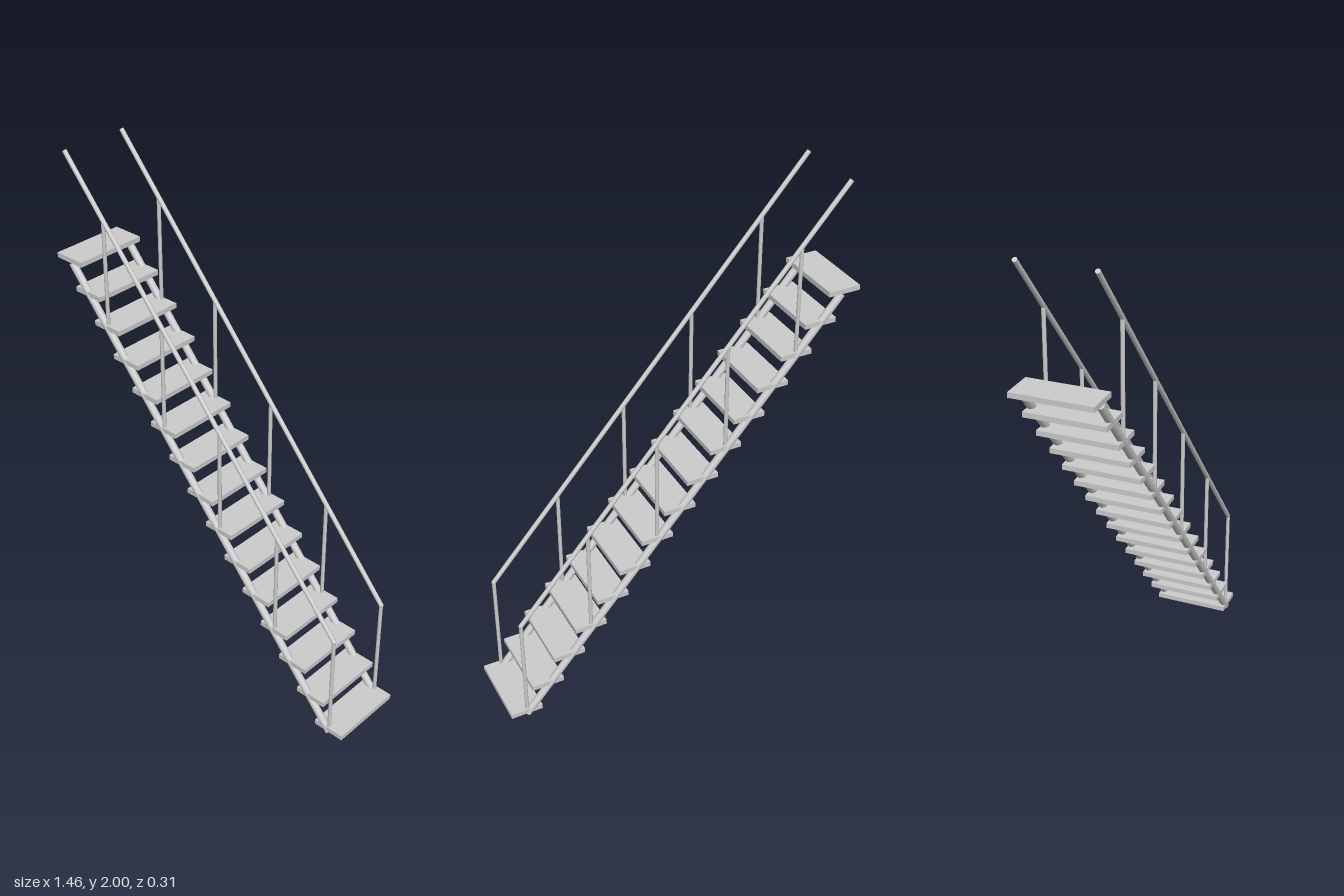
import * as THREE from 'three';

const material = new THREE.MeshStandardMaterial({ color: 0xcccccc });

// Round bar running between two points
function bar(name, from, to, radius) {
  const a = new THREE.Vector3(...from);
  const b = new THREE.Vector3(...to);
  const dir = b.clone().sub(a);
  const mesh = new THREE.Mesh(new THREE.CylinderGeometry(radius, radius, dir.length(), 16), material);
  mesh.position.copy(a).add(b).multiplyScalar(0.5);
  mesh.quaternion.setFromUnitVectors(new THREE.Vector3(0, 1, 0), dir.normalize());
  mesh.name = name;
  return mesh;
}

export function createModel() {
  const model = new THREE.Group();
  model.name = 'staircase';

  // Open treads
  const count = 15, run = 0.095, rise = 0.1096;
  const treads = new THREE.Group();
  treads.name = 'treads';
  const treadGeometry = new THREE.BoxGeometry(0.13, 0.02, 0.304);
  for (let i = 0; i < count; i++) {
    const tread = new THREE.Mesh(treadGeometry, material);
    tread.position.set(0.665 - i * run, 0.028 + i * rise, 0);
    tread.name = 'tread';
    treads.add(tread);
  }
  model.add(treads);

  // Heights of the stringer and the handrail along x
  const slope = rise / run;
  const stringerY = (x) => 0.01 + (0.66 - x) * 1.165;
  const railY = (x) => 0.465 + (0.66 - x) * slope;

  // One stringer, handrail and set of posts per side
  for (const [side, z] of [['front', 0.14], ['back', -0.14]]) {
    const group = new THREE.Group();
    group.name = side + 'Side';
    group.add(bar('stringer', [0.66, stringerY(0.66), z], [-0.66, stringerY(-0.66), z], 0.015));
    group.add(bar('handrail', [0.66, railY(0.66), z], [-0.664, railY(-0.664), z], 0.009));

    // Rounded corner where the rail meets the lowest post
    const elbow = new THREE.Mesh(new THREE.SphereGeometry(0.009, 16, 10), material);
    elbow.position.set(0.66, railY(0.66), z);
    elbow.name = 'railElbow';
    group.add(elbow);

    // A post on every third tread
    for (let i = 0; i < 5; i++) {
      const x = 0.66 - i * 0.2845;
      group.add(bar('post', [x, stringerY(x), z], [x, railY(x), z], 0.0075));
    }
    model.add(group);
  }
  return model;
}
